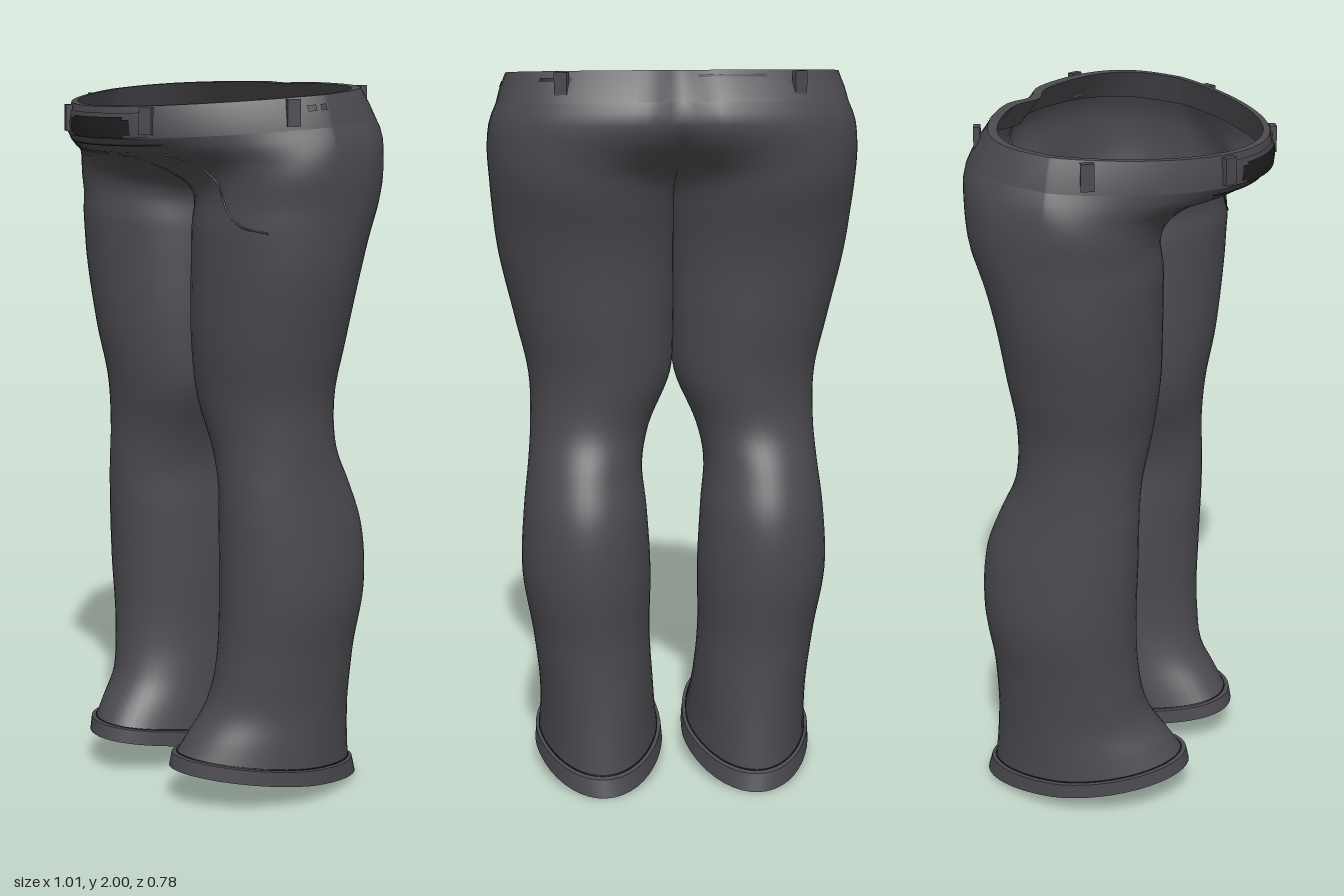
import * as THREE from 'three';
import { mergeVertices } from 'three/addons/utils/BufferGeometryUtils.js';

const mat = (name, color) => {
  const m = new THREE.MeshStandardMaterial({ color, side: THREE.DoubleSide });
  m.name = name;
  return m;
};
const clamp01 = t => THREE.MathUtils.clamp(t, 0, 1);

// Section keys: height, tilt (rise per z), inner x, outer x, front z, back z, leg-to-hip blend
const KEYS = [
  [0.11, 0.17, 0.045, 0.388, 0.232, -0.335, 0],
  [0.17, 0.12, 0.052, 0.385, 0.2, -0.325, 0],
  [0.26, 0.05, 0.06, 0.385, 0.145, -0.315, 0],
  [0.4, 0, 0.07, 0.4, 0.117, -0.312, 0],
  [0.6, 0, 0.068, 0.43, 0.113, -0.332, 0],
  [0.78, 0, 0.078, 0.422, 0.12, -0.32, 0],
  [0.9, 0, 0.088, 0.408, 0.122, -0.275, 0],
  [1.0, 0, 0.068, 0.4, 0.122, -0.232, 0],
  [1.15, 0, 0.006, 0.402, 0.14, -0.23, 0],
  [1.3, 0, -0.004, 0.435, 0.163, -0.248, 0],
  [1.5, 0, -0.004, 0.48, 0.175, -0.272, 0],
  [1.62, 0, -0.003, 0.494, 0.18, -0.305, 0],
  [1.7, 0, 0, 0.5, 0.19, -0.345, 0.3],
  [1.76, 0, 0, 0.504, 0.225, -0.375, 0.7],
  [1.81, -0.03, 0, 0.502, 0.272, -0.39, 0.94],
  [1.85, -0.065, 0, 0.495, 0.342, -0.392, 1],
  [1.89, -0.08, 0, 0.478, 0.38, -0.374, 1],
];
const curve = new THREE.CubicInterpolant(
  KEYS.map(k => k[0]), KEYS.flatMap(k => k.slice(1)), 6, new Float32Array(6));
const section = y => [y, ...curve.evaluate(y)];

// Point on a section; u runs from the inner seam round the front, side and back
function ringPoint([y, tilt, xi, xo, zf, zb, blend], u) {
  const w = clamp01(blend);
  // Leg oval; near the hem the front leans inward and the back narrows
  const a = Math.PI * (1 - 2 * u), sa = Math.sin(a);
  const hem = clamp01((0.35 - y) / 0.25);
  const lx = (xi + xo) / 2 + (xo - xi) / 2 * Math.cos(a) - 0.035 * hem * Math.max(0, sa) ** 2;
  const lz = (zf + zb) / 2 + (zf - zb) / 2 * Math.sign(sa) * Math.abs(sa) ** (sa < 0 ? 1 + 0.25 * hem : 1);
  // Hip half-oval; belly tapers forward, seat is squarer with a centre cleft
  const b = Math.PI * (0.5 - u), s = Math.sin(b), c = -0.03;
  const hx = xo * Math.cos(b);
  const hz = s > 0
    ? c + (zf - c) * s ** (1 + 0.6 * clamp01((zf - 0.2) / 0.17))
    : c + (zb - c) * (-s) ** 0.66 + 0.032 * Math.exp(-((hx / 0.06) ** 2));
  const x = lx + (hx - lx) * w;
  const z = lz + (hz - lz) * w;
  return new THREE.Vector3(x, y + tilt * z, z);
}

// Skin a list of sections on the given sides (1 left, -1 right)
function loft(sections, sides = [1, -1], u0 = 0, u1 = 1, n = 48) {
  const pos = [], idx = [];
  for (const side of sides) {
    const base = pos.length / 3;
    sections.forEach((p, i) => {
      for (let j = 0; j <= n; j++) {
        const v = ringPoint(p, u0 + (u1 - u0) * j / n);
        pos.push(v.x * side, v.y, v.z);
        if (i && j) {
          const d = base + i * (n + 1) + j, c = d - 1, b = d - n - 1, a = b - 1;
          if (side > 0) idx.push(a, b, d, a, d, c);
          else idx.push(a, d, b, a, c, d);
        }
      }
    });
  }
  const g = new THREE.BufferGeometry();
  g.setAttribute('position', new THREE.Float32BufferAttribute(pos, 3));
  g.setIndex(idx);
  const m = mergeVertices(g, 1e-4);
  m.computeVertexNormals();
  return m;
}

const BAND = [
  [1.89, -0.08, 0, 0.478, 0.38, -0.374, 1],
  [1.93, -0.08, 0, 0.467, 0.385, -0.35, 1],
  [1.973, -0.08, 0, 0.45, 0.376, -0.32, 1],
];
// Section at a height on the band, pushed outward
function bandAt(y, out) {
  const [p, q, y0, y1] = y < 1.93 ? [BAND[0], BAND[1], 1.89, 1.93] : [BAND[1], BAND[2], 1.93, 1.973];
  const t = (y - y0) / (y1 - y0);
  return p.map((v, i) => v + (q[i] - v) * t + [0, 0, 0, out, out, -out, 0][i]);
}

export function createModel() {
  const cloth = mat('charcoalCloth', 0x4a4a4f);
  const dark = mat('blackTrim', 0x1e1e20);
  const model = new THREE.Group();
  model.name = 'trousers';
  const add = (name, geo, m) => {
    const mesh = new THREE.Mesh(geo, m);
    mesh.name = name;
    model.add(mesh);
    return mesh;
  };

  // Legs and hips in one skin
  const rows = [];
  for (let i = 0; i <= 70; i++) rows.push(section(0.11 + 1.78 * i / 70));
  add('legsAndHips', loft(rows), cloth);

  // Waistband with a folded rim and inner facing
  add('waistbandOuter', loft(BAND), cloth);
  const rim = [1.973, -0.08, 0, 0.43, 0.357, -0.294, 1];
  add('waistbandRim', loft([BAND[2], rim]), cloth);
  add('waistbandFacing', loft([rim, [1.89, -0.08, 0, 0.462, 0.365, -0.355, 1]]), cloth);

  // Flared cuffs, open underneath
  const cuff = [
    [0.112, 0.17, 0.045, 0.388, 0.232, -0.335, 0],
    [0.11, 0.17, 0.034, 0.398, 0.246, -0.348, 0],
    [0.067, 0.18, 0.03, 0.4, 0.254, -0.362, 0],
    [0.067, 0.18, 0.048, 0.382, 0.23, -0.34, 0],
    [0.12, 0.17, 0.06, 0.375, 0.2, -0.312, 0],
  ];
  for (let i = 1; i < cuff.length; i++) add('cuff', loft([cuff[i - 1], cuff[i]]), cloth);

  // Front buckle: raised surround and dark plate
  const patch = (name, m, y0, y1, u0, u1, out, sides) =>
    add(name, loft([bandAt(y0, out), bandAt((y0 + y1) / 2, out), bandAt(y1, out)], sides, u0, u1, 10), m);
  patch('buckleSurround', cloth, 1.892, 1.957, 0, 0.115, 0.004);
  patch('bucklePlate', dark, 1.892, 1.947, 0, 0.072, 0.007);
  patch('bucklePlateEnd', dark, 1.9, 1.94, 0.072, 0.086, 0.007);

  // Small dark marks on the left side and along the back of the band
  for (const u of [0.405, 0.445]) patch('sideMark', dark, 1.935, 1.951, u, u + 0.025, 0.004, [1]);
  patch('backMark', dark, 1.945, 1.955, 0.71, 0.79, 0.003, [1]);
  patch('backMark', dark, 1.955, 1.962, 0.84, 0.97, 0.003, [-1]);

  // Belt loops
  for (const side of [1, -1]) {
    for (const u of [0.118, 0.37, 0.77]) {
      const p = ringPoint(bandAt(1.935, 0.004), u);
      const q = ringPoint(bandAt(1.935, 0.004), u + 0.01);
      const loop = add('beltLoop', new THREE.BoxGeometry(0.035, 0.07, 0.018), cloth);
      loop.position.copy(p).setX(p.x * side);
      loop.rotation.y = side * Math.atan2(p.z - q.z, q.x - p.x);
    }
  }

  // Pocket crease on the left hip, and thin seams under the band and above the cuffs
  const line = (name, pts, r, closed = false) => add(name, new THREE.TubeGeometry(
    new THREE.CatmullRomCurve3(pts, closed), pts.length * 4, r, 5, closed), dark);
  line('pocketCrease', [[1.84, 0.105], [1.81, 0.14], [1.775, 0.175], [1.74, 0.215], [1.71, 0.24],
    [1.67, 0.27], [1.635, 0.31], [1.62, 0.36]].map(([y, u]) => ringPoint(section(y), u)), 0.003);
  const seam = [];
  for (let j = -8; j <= 8; j++) {
    const p = ringPoint(section(1.868), Math.abs(j) / 60);
    seam.push(p.setX(p.x * Math.sign(j)));
  }
  line('frontBandSeam', seam, 0.002);
  for (const side of [1, -1]) {
    const ring = [];
    for (let j = 0; j < 32; j++) {
      const p = ringPoint(section(0.113), j / 32);
      ring.push(p.setX(p.x * side));
    }
    line('cuffSeam', ring, 0.002, true);
  }
  return model;
}
